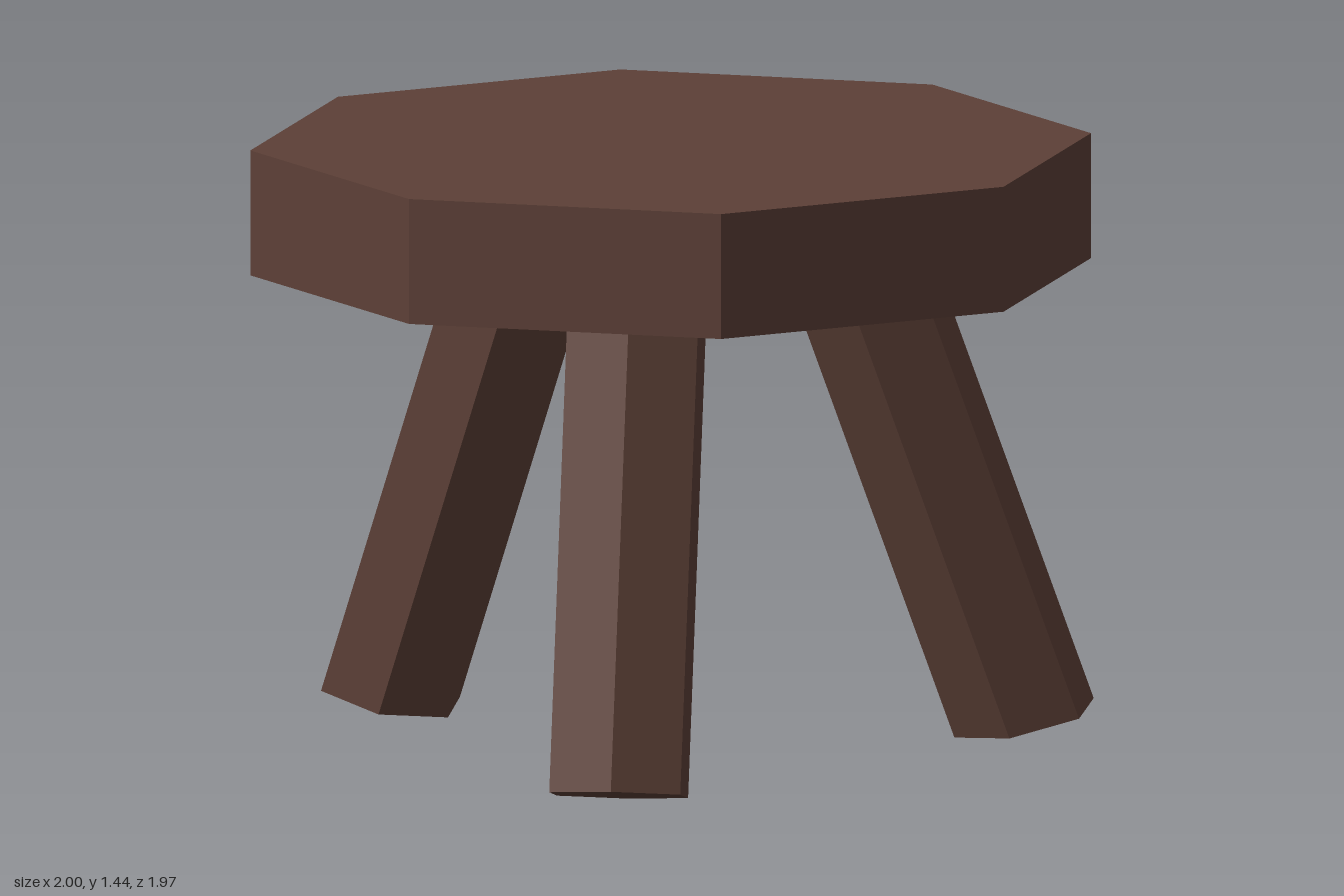
import * as THREE from 'three';

const darkWood = new THREE.MeshStandardMaterial({ color: 0x5d4037, flatShading: true });
darkWood.name = 'darkWood';

// Six-sided leg with its foot at the origin pointing towards +x, leaning inwards
function legGeometry() {
  const length = 1.64;
  const geo = new THREE.CylinderGeometry(0.177, 0.177, length, 6);
  geo.translate(0, length / 2, 0);
  geo.rotateY(Math.PI / 2);
  geo.rotateZ(0.278);
  geo.scale(1, 0.773, 1); // squash gives the feet their shallow slant
  return geo;
}

export function createModel() {
  const stool = new THREE.Group();
  stool.name = 'stool';

  // Thick octagonal seat, corners on the axes
  const seat = new THREE.Mesh(new THREE.CylinderGeometry(0.985, 0.985, 0.295, 8), darkWood);
  seat.name = 'seat';
  seat.position.set(0.015, 1.2875, 0);
  stool.add(seat);

  // Three splayed legs: foot x, foot z, outward direction in degrees
  const geo = legGeometry();
  const legs = [
    ['rightLeg', -0.83, -0.02, 180],
    ['frontLeg', 0.435, 0.73, 58],
    ['backLeg', 0.53, -0.675, -56],
  ];
  for (const [name, x, z, degrees] of legs) {
    const leg = new THREE.Mesh(geo, darkWood);
    leg.name = name;
    leg.position.set(x, 0.0375, z);
    leg.rotation.y = -THREE.MathUtils.degToRad(degrees);
    stool.add(leg);
  }
  return stool;
}
